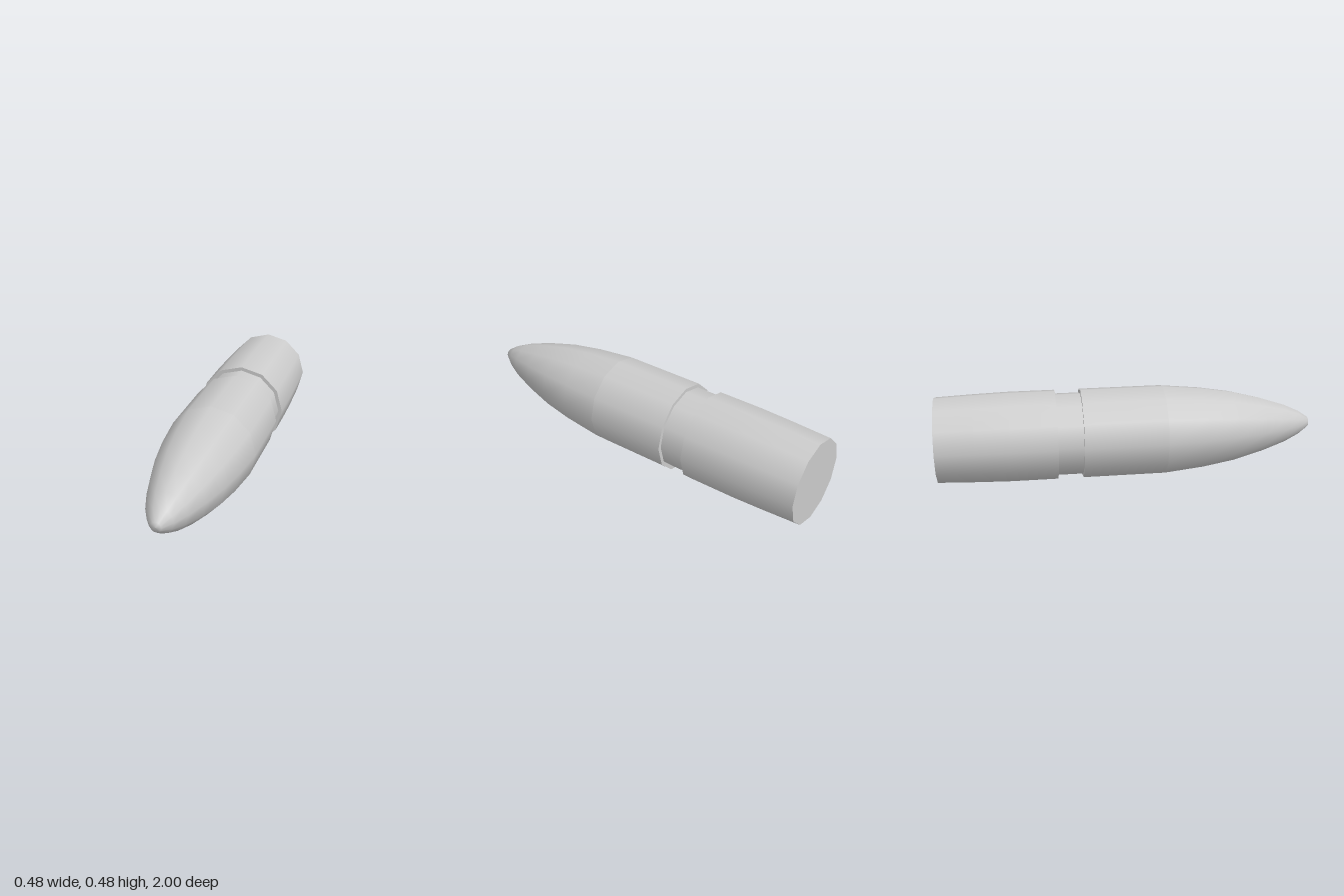
import * as THREE from 'three';

const SIDES = 12;
const R = 0.238; // full body radius
const GROOVE = 0.218; // groove radius
const TAIL = 0.225; // rear end radius

export function createModel() {
  const group = new THREE.Group();
  group.name = 'projectile';
  const material = new THREE.MeshStandardMaterial({ color: 0xcccccc });

  // Turn a [radius, z] profile, listed from rear to front, around the long axis
  function turned(name, profile) {
    const points = profile.map(([r, z]) => new THREE.Vector2(r, z));
    const geometry = new THREE.LatheGeometry(points, SIDES);
    geometry.rotateX(Math.PI / 2);
    const mesh = new THREE.Mesh(geometry, material);
    mesh.name = name;
    mesh.position.y = R;
    group.add(mesh);
  }

  // Separate pieces keep the edges between them sharp
  turned('basePlate', [[0, -1], [TAIL, -1]]);
  turned('taperedTail', [[TAIL, -1], [0.233, -0.8], [R, -0.62], [R, -0.378]]);
  turned('grooveRearWall', [[R, -0.378], [GROOVE, -0.378]]);
  turned('grooveFloor', [[GROOVE, -0.378], [GROOVE, -0.245]]);
  turned('grooveFrontWall', [[GROOVE, -0.245], [R, -0.245]]);
  turned('body', [[R, -0.245], [R, 0.19]]);

  // Curved nose with a small blunt tip
  turned('nose', [
    [R, 0.19], [0.217, 0.4], [0.189, 0.57], [0.147, 0.73],
    [0.103, 0.86], [0.065, 0.94], [0.026, 0.996], [0, 1],
  ]);

  return group;
}
